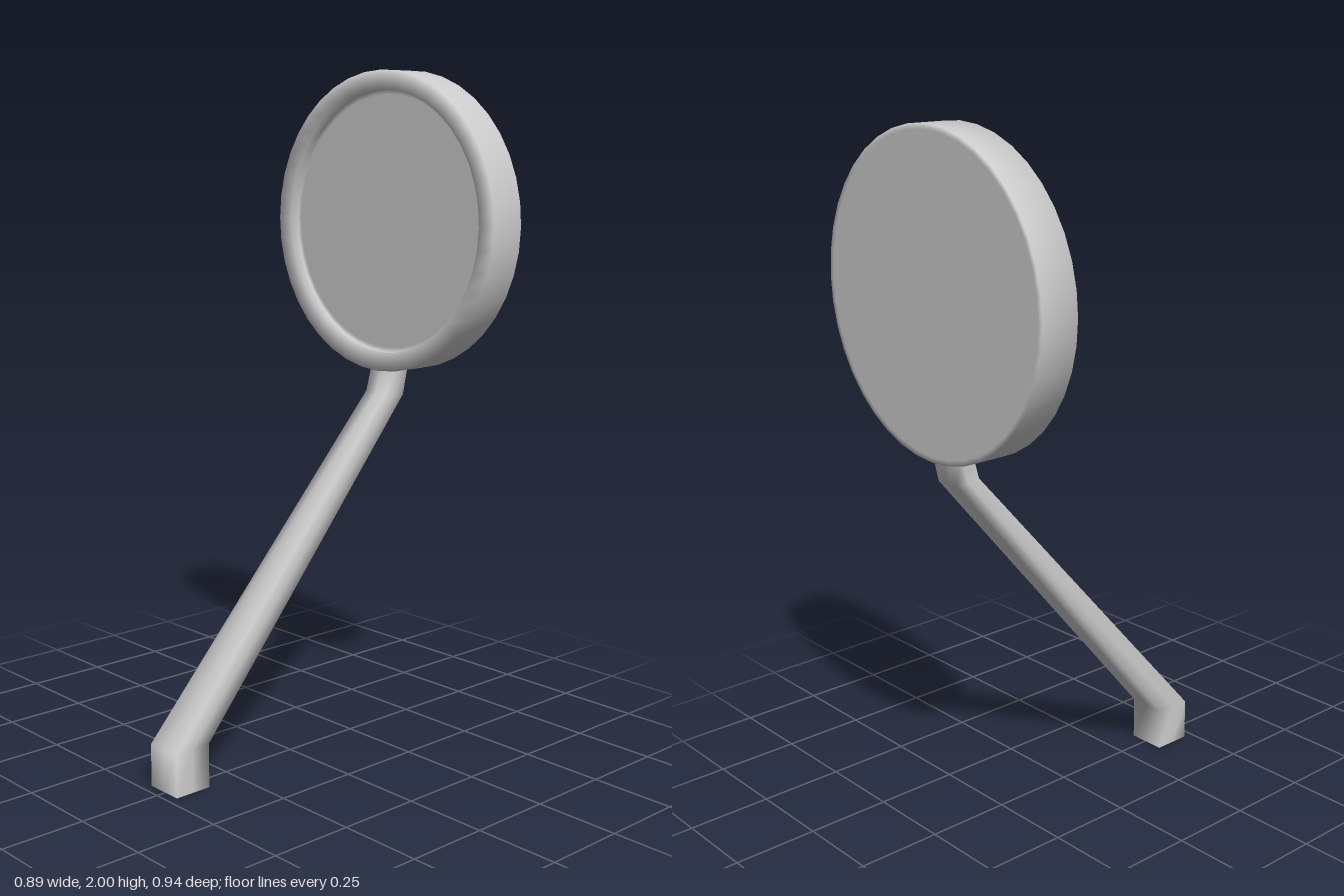
import * as THREE from 'three';

const mat = () => new THREE.MeshStandardMaterial({ color: 0xcccccc });

// Round housing with a recessed front, turned around its own axis
function makeHead() {
  const profile = [
    [0, -0.058], [0.43, -0.058], [0.445, -0.058], [0.445, 0.058],
    [0.39, 0.058], [0.39, 0.03], [0.375, 0.03], [0, 0.03],
  ].map(([r, h]) => new THREE.Vector2(r, h));
  const geo = new THREE.LatheGeometry(profile, 40);
  geo.rotateX(Math.PI / 2);
  const head = new THREE.Mesh(geo, mat());
  head.name = 'roundHead';
  head.position.set(0, 1.557, -0.415);
  return head;
}

// Tapered square arm, lofted through rings: centre x, half width, front z, front y, back z, back y
function makeArm() {
  const rings = [
    [-0.005, 0.058, 0.471, 0, 0.355, 0],
    [-0.005, 0.058, 0.471, 0.125, 0.355, 0.13],
    [0.004, 0.041, -0.345, 1.05, -0.42, 1.04],
    [0.004, 0.039, -0.365, 1.13, -0.442, 1.13],
  ];
  // Square loop with a middle point on every side, counterclockwise from above
  const loop = [[1, 1], [1, 0], [1, -1], [0, -1], [-1, -1], [-1, 0], [-1, 1], [0, 1]];
  const n = loop.length;
  const pos = [];
  const index = [];
  rings.forEach(([cx, hw, zf, yf, zb, yb], k) => {
    for (const [u, v] of loop) {
      const t = (v + 1) / 2;
      pos.push(cx + u * hw, yb + (yf - yb) * t, zb + (zf - zb) * t);
    }
    if (k === 0) return;
    for (let i = 0; i < n; i++) {
      const a = (k - 1) * n + i;
      const b = (k - 1) * n + ((i + 1) % n);
      index.push(a, b, b + n, a, b + n, a + n);
    }
  });
  // Flat underside with its own corners
  const base = pos.length / 3;
  pos.push(...pos.slice(0, n * 3));
  for (let i = 1; i < n - 1; i++) index.push(base, base + i + 1, base + i);

  const geo = new THREE.BufferGeometry();
  geo.setAttribute('position', new THREE.Float32BufferAttribute(pos, 3));
  geo.setIndex(index);
  geo.computeVertexNormals();
  const arm = new THREE.Mesh(geo, mat());
  arm.name = 'bentArm';
  return arm;
}

export function createModel() {
  const group = new THREE.Group();
  group.name = 'roundMirror';
  group.add(makeHead(), makeArm());
  return group;
}
